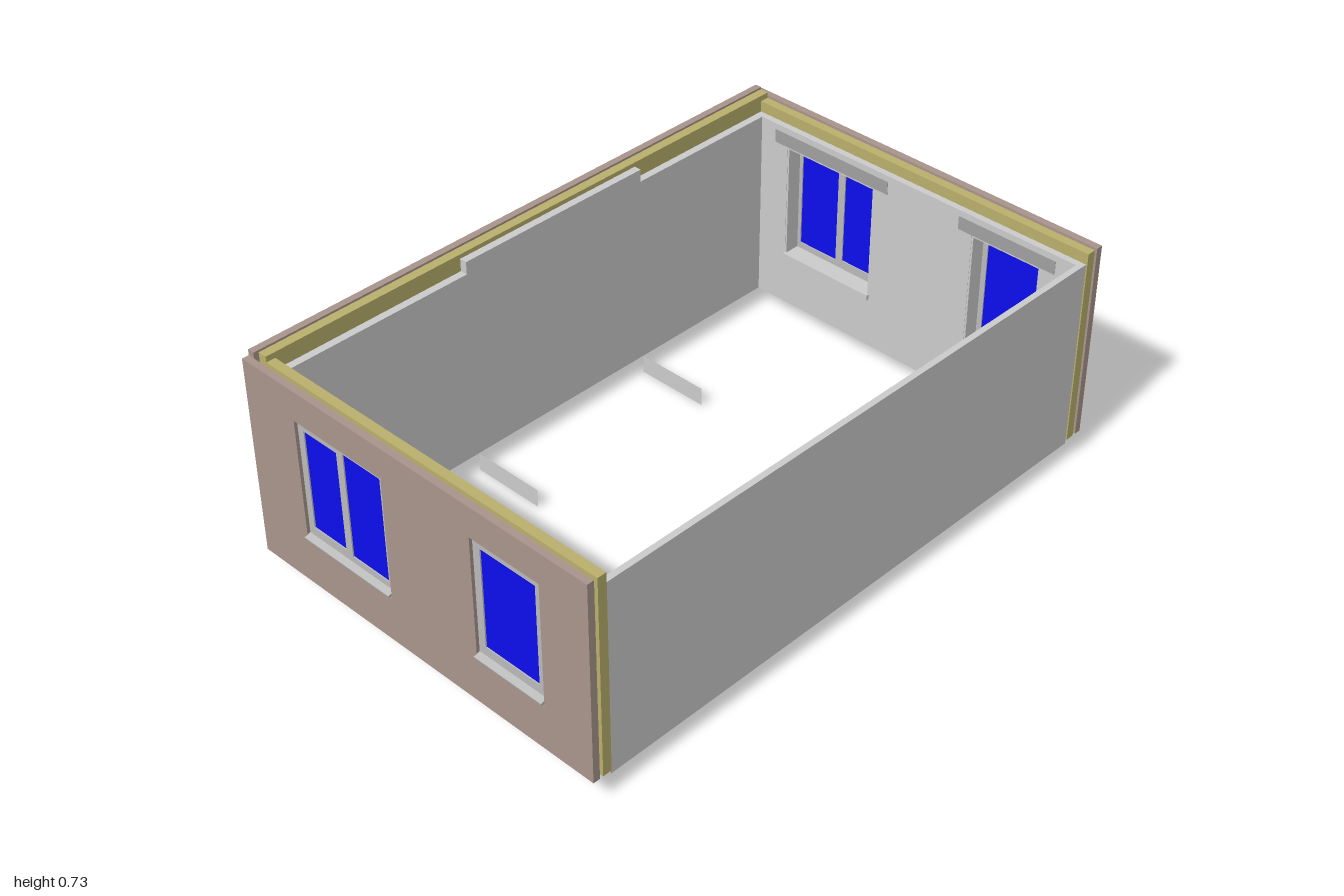
import * as THREE from 'three';

const mat = (color) => new THREE.MeshStandardMaterial({ color, side: THREE.DoubleSide });
const grey = mat(0xcccccc), brick = mat(0xa8958c), wool = mat(0xb9b06c);
const frameGrey = mat(0xbababa), lintelGrey = mat(0xa0a0a0), glass = mat(0x0d0dee);

// Opening heights shared by all windows
const Y0 = 0.222, Y1 = 0.617;

function add(parent, name, geometry, material) {
  const mesh = new THREE.Mesh(geometry, material);
  mesh.name = name;
  parent.add(mesh);
  return mesh;
}

// Box given by its limits on each axis
function box(parent, name, material, [x0, x1], [y0, y1], [z0, z1]) {
  const mesh = add(parent, name, new THREE.BoxGeometry(x1 - x0, y1 - y0, z1 - z0), material);
  mesh.position.set((x0 + x1) / 2, (y0 + y1) / 2, (z0 + z1) / 2);
  return mesh;
}

function rectPoints([x0, x1], [y0, y1]) {
  return [[x0, y0], [x1, y0], [x1, y1], [x0, y1]].map(([x, y]) => new THREE.Vector2(x, y));
}

// Upright panel with rectangular holes, each hole being [xRange, yRange]
function panel(parent, name, material, xs, ys, [z0, z1], holes) {
  const shape = new THREE.Shape(rectPoints(xs, ys));
  for (const [hx, hy] of holes) shape.holes.push(new THREE.Path(rectPoints(hx, hy)));
  const geometry = new THREE.ExtrudeGeometry(shape, { depth: z1 - z0, bevelEnabled: false });
  geometry.translate(0, 0, z0);
  return add(parent, name, geometry, material);
}

// Window across [x0, x1]; panes are given as offsets from x0
function createWindow([x0, x1], panes) {
  const group = new THREE.Group();
  group.name = 'window';
  const paneRects = panes.map(([a, b, y0, y1]) => [[x0 + a, x0 + b], [y0, y1]]);
  panel(group, 'windowFrame', frameGrey, [x0, x1], [Y0, Y1], [0.953, 0.975], paneRects);
  for (const [px, py] of paneRects) box(group, 'pane', glass, px, py, [0.957, 0.971]);
  // Lining of the reveal on the room side
  panel(group, 'reveal', grey, [x0, x1], [Y0, Y1], [0.903, 0.953],
    [[[x0 + 0.006, x1 - 0.006], [Y0 + 0.006, Y1 - 0.006]]]);
  box(group, 'innerSill', grey, [x0, x1], [Y0 + 0.002, 0.242], [0.893, 0.953]);
  // Outer sill sloping away from the frame
  const sill = box(group, 'outerSill', frameGrey, [x0, x1], [0.233, 0.241], [0.965, 0.995]);
  sill.rotation.x = 0.3;
  // Lintel on the room side and lintel in the cavity
  box(group, 'lintel', lintelGrey, [x0 - 0.05, x1 + 0.05], [Y1, 0.66], [0.901, 0.925]);
  box(group, 'cavityLintel', brick, [x0 - 0.012, x1 + 0.012], [Y1, 0.627], [0.95, 0.964]);
  return group;
}

const doublePanes = [[0.023, 0.153, 0.27, 0.59], [0.179, 0.323, 0.262, 0.6]];
const singlePane = [[0.025, 0.22, 0.27, 0.59]];

// Three-layer wall facing +z, mirrored end for end by sign
function createFacade(name, sign, doubleX, singleX) {
  const group = new THREE.Group();
  group.name = name;
  const range = (a, b) => (sign > 0 ? [a, b] : [-b, -a]);
  const holes = [doubleX, singleX].map((xs) => [xs, [Y0, Y1]]);
  panel(group, 'brickLayer', brick, range(-0.64, 0.637), [0.075, 0.715], [0.963, 0.985], holes);
  panel(group, 'insulationLayer', wool, range(-0.61, 0.637), [0.075, 0.715], [0.923, 0.952], holes);
  panel(group, 'innerLayer', grey, range(-0.58, 0.633), [0.06, 0.68], [0.902, 0.923], holes);
  group.add(createWindow(doubleX, doublePanes), createWindow(singleX, singlePane));
  return group;
}

export function createModel() {
  const model = new THREE.Group();
  model.name = 'houseShell';

  // Front and back walls with windows
  model.add(createFacade('frontWall', 1, [-0.443, -0.102], [0.225, 0.47]));
  const back = createFacade('backWall', -1, [0.109, 0.45], [-0.498, -0.255]);
  back.rotation.y = Math.PI;
  back.position.z = -0.005;
  model.add(back);

  // Long layered wall on the -x side
  const side = new THREE.Group();
  side.name = 'layeredSideWall';
  model.add(side);
  box(side, 'brickLayer', brick, [-0.64, -0.618], [0.075, 0.733], [-0.968, 0.963]);
  box(side, 'insulationLayer', wool, [-0.61, -0.581], [0.075, 0.733], [-0.957, 0.952]);
  box(side, 'innerLayer', grey, [-0.58, -0.556], [0.06, 0.68], [-0.907, 0.902]);
  box(side, 'raisedInnerPart', grey, [-0.58, -0.556], [0.68, 0.72], [-0.387, 0.287]);

  // Plain wall on the +x side
  box(model, 'plainSideWall', grey, [0.614, 0.633], [0.06, 0.68], [-0.907, 0.902]);

  // Thin plates under the layered side wall
  for (const z of [0.285, -0.388]) {
    const plate = add(model, 'floorPlate', new THREE.PlaneGeometry(0.245, 0.06), grey);
    plate.position.set(-0.4325, 0.03, z);
  }
  return model;
}
